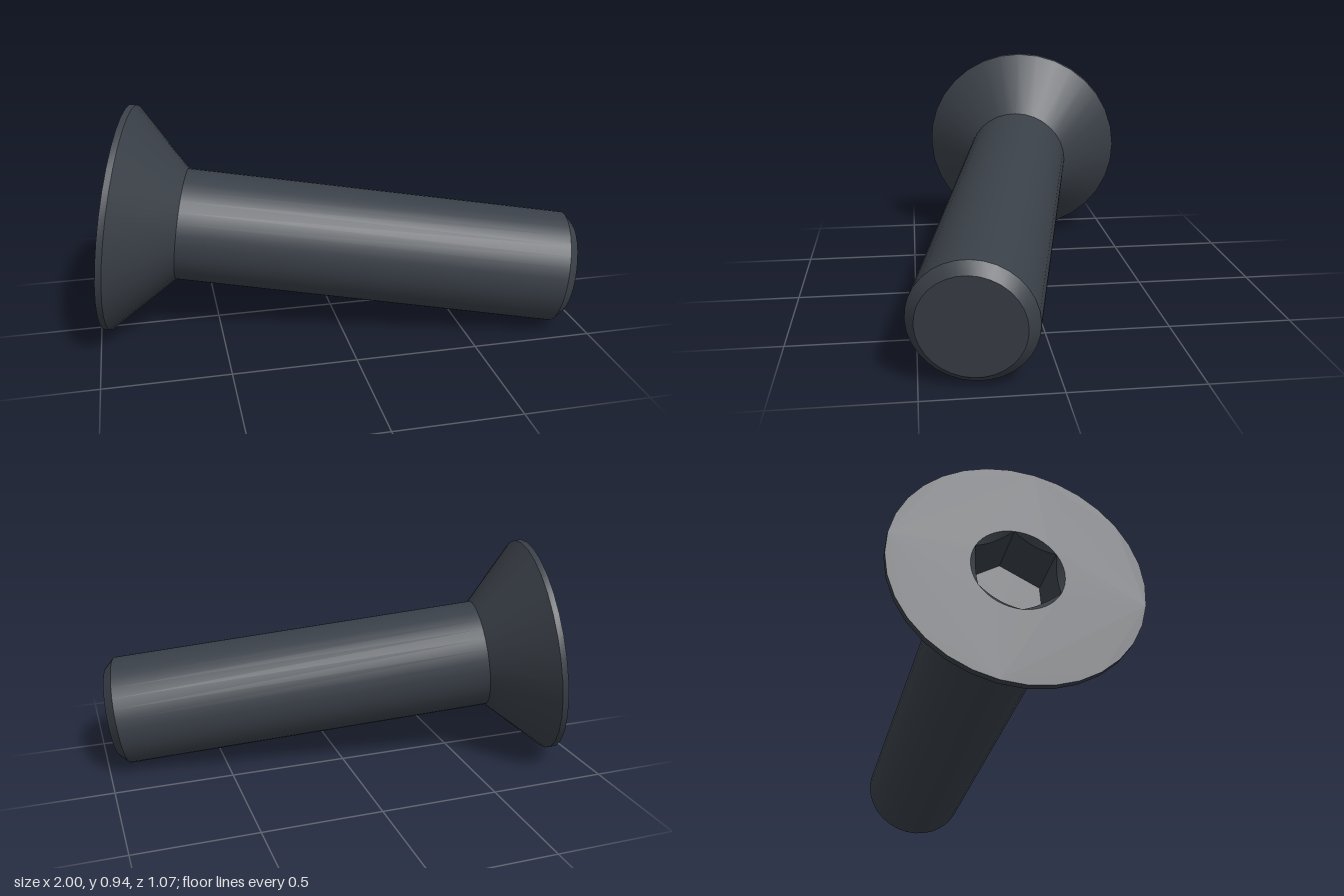
import * as THREE from 'three';
import { toCreasedNormals } from 'three/addons/utils/BufferGeometryUtils.js';

const HEAD_R = 0.472, SHAFT_R = 0.235, SOCKET_R = 0.172, LENGTH = 1.892;
const SOCKET_TURN = 0.31; // turn of the hexagon about the screw axis

const steel = new THREE.MeshStandardMaterial({ color: 0x3a4048 });
steel.name = 'dark steel';

function part(name, geometry) {
  const mesh = new THREE.Mesh(toCreasedNormals(geometry, Math.PI / 6), steel);
  mesh.name = name;
  return mesh;
}

const lathe = (points, segments, start = 0) =>
  new THREE.LatheGeometry(points.map(([r, y]) => new THREE.Vector2(r, y)), segments, start);

function ring(radius, segments, start = 0) {
  return Array.from({ length: segments }, (_, i) => {
    const a = start + (i / segments) * Math.PI * 2;
    return new THREE.Vector2(radius * Math.sin(a), radius * Math.cos(a));
  });
}

// Flat back of the head with a round opening
function headFace() {
  const shape = new THREE.Shape(ring(HEAD_R, 32));
  shape.holes.push(new THREE.Path(ring(SOCKET_R, 48, SOCKET_TURN)));
  return new THREE.ShapeGeometry(shape).rotateX(Math.PI / 2);
}

// Round rim, chamfer, six flat walls and a floor
function hexSocket() {
  const depth = 0.2;
  const geometry = lathe([[0, depth], [SOCKET_R, depth], [SOCKET_R, 0.01], [SOCKET_R, 0]], 48, SOCKET_TURN);
  const pos = geometry.attributes.position;
  const side = Math.PI / 3;
  for (let i = 0; i < pos.count; i++) {
    const row = i % 4;
    if (row !== 1 && row !== 2) continue;
    const step = Math.floor(i / 4) % 8; // eight steps per flat wall
    const r = SOCKET_R * Math.cos(side / 2) / Math.cos((step / 8 - 0.5) * side);
    const y = row === 1 ? depth : (SOCKET_R - r) * 0.8;
    pos.setXYZ(i, pos.getX(i) * r / SOCKET_R, y, pos.getZ(i) * r / SOCKET_R);
  }
  return geometry;
}

export function createModel() {
  const screw = new THREE.Group();
  screw.name = 'countersunkScrew';

  screw.add(
    part('headFace', headFace()),
    part('hexSocket', hexSocket()),
    part('headCone', lathe([[HEAD_R, 0], [HEAD_R, 0.025], [SHAFT_R, 0.262]], 32)),
    part('shaft', lathe([[SHAFT_R, 0.262], [SHAFT_R, LENGTH - 0.04], [0.196, LENGTH], [0, LENGTH]], 32)),
  );

  // Lay the screw axis along its tilted direction
  const axis = new THREE.Vector3(0.9705, -0.1255, 0.206).normalize();
  screw.quaternion.setFromUnitVectors(new THREE.Vector3(0, 1, 0), axis);
  screw.position.set(-0.884, 0.4725, -0.0725);

  const model = new THREE.Group();
  model.name = 'model';
  model.add(screw);
  return model;
}
